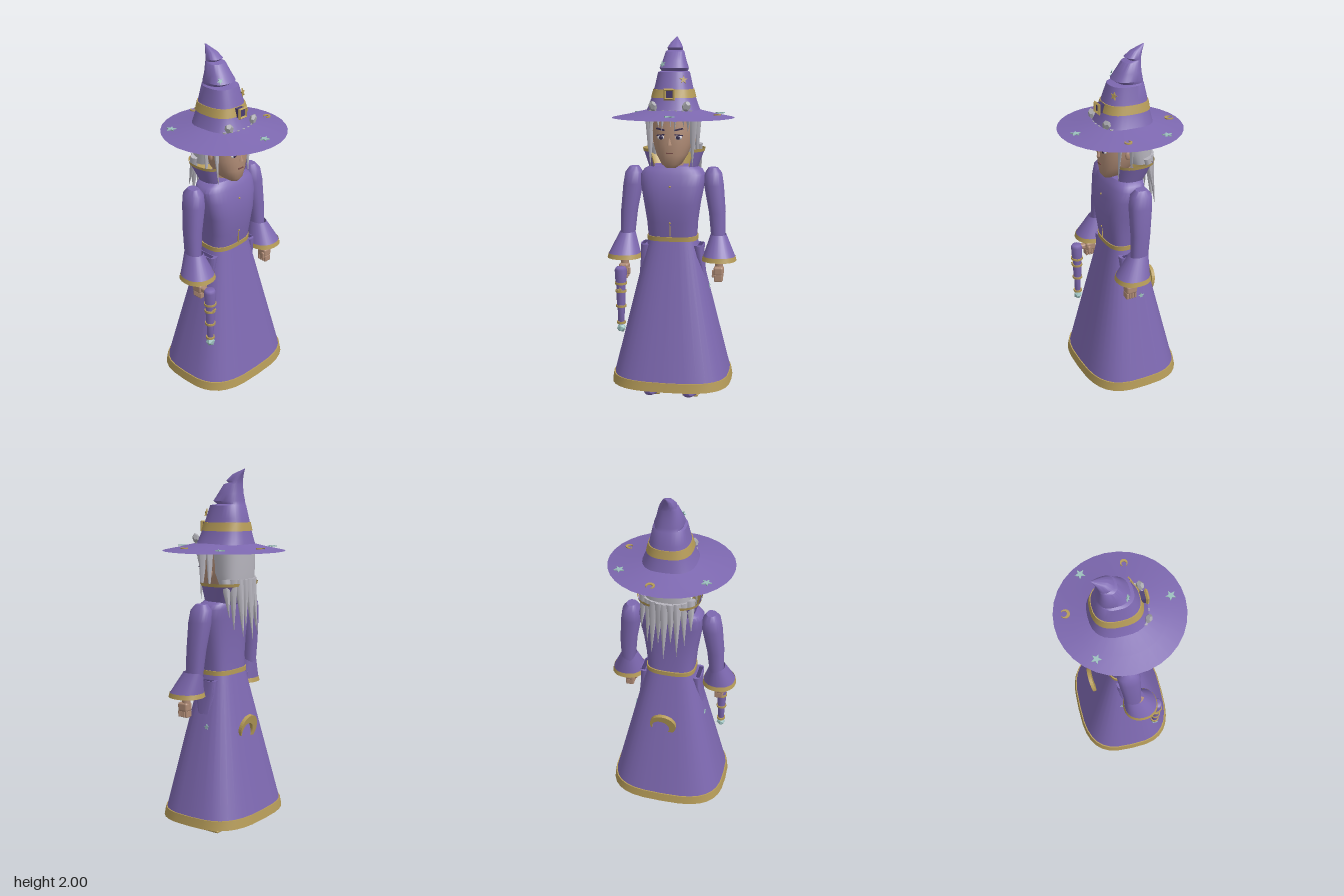
import * as THREE from 'three';
import { toCreasedNormals } from 'three/addons/utils/BufferGeometryUtils.js';
import { RoundedBoxGeometry } from 'three/addons/geometries/RoundedBoxGeometry.js';

const mat = (color, extra = {}) => new THREE.MeshStandardMaterial({ color, ...extra });
const both = { side: THREE.DoubleSide };
const M = {
  purple: mat(0x7d68b0), cloth: mat(0x7d68b0, both), dark: mat(0x4a3d70),
  gold: mat(0xb59b58), trim: mat(0xb59b58, both), skin: mat(0xb08c76),
  hair: mat(0xb9b7c0), teal: mat(0x9cc0be), eye: mat(0x3a2f50), white: mat(0xd8d4dc), lip: mat(0x7a4f4a),
};

// Skin through superellipse rings [y, halfWidth, zFront, zBack, centreX], lowest first
function loft(rings, { n = 3, seg = 32, gap = 0, caps = true, crease = 0.6 } = {}) {
  const pos = [], idx = [], cols = seg + 1, p = 2 / n;
  const pow = (v) => Math.sign(v) * Math.abs(v) ** p;
  for (const [y, rx, zf, zb, cx = 0] of rings) {
    for (let j = 0; j <= seg; j++) {
      const a = Math.PI / 2 + gap + (j / seg) * (2 * Math.PI - 2 * gap);
      pos.push(cx + rx * pow(Math.cos(a)), y, (zf + zb) / 2 + ((zf - zb) / 2) * pow(Math.sin(a)));
    }
  }
  for (let i = 0; i < rings.length - 1; i++) {
    for (let j = 0; j < seg; j++) {
      const a = i * cols + j, b = a + cols;
      idx.push(a, b, a + 1, a + 1, b, b + 1);
    }
  }
  if (caps && !gap) {
    [0, rings.length - 1].forEach((i) => {
      const [y, , zf, zb, cx = 0] = rings[i], c = pos.length / 3;
      pos.push(cx, y, (zf + zb) / 2);
      for (let j = i * cols; j < i * cols + seg; j++) idx.push(c, i ? j + 1 : j, i ? j : j + 1);
    });
  }
  const g = new THREE.BufferGeometry();
  g.setAttribute('position', new THREE.Float32BufferAttribute(pos, 3));
  g.setIndex(idx);
  return toCreasedNormals(g, crease);
}

// Tapered lock from a root to a tip
function lock(root, tip, r, flat = 0.5) {
  const a = new THREE.Vector3(...root), b = new THREE.Vector3(...tip), d = b.clone().sub(a);
  const g = new THREE.ConeGeometry(r, d.length(), 6);
  g.scale(1, 1, flat);
  g.applyQuaternion(new THREE.Quaternion().setFromUnitVectors(new THREE.Vector3(0, 1, 0), d.normalize()));
  return g.translate(...a.add(b).multiplyScalar(0.5).toArray());
}

function star(r, depth = 0.006) {
  const s = new THREE.Shape();
  for (let i = 0; i < 10; i++) {
    const a = (i * Math.PI) / 5 + Math.PI / 2, q = i % 2 ? r * 0.42 : r;
    s[i ? 'lineTo' : 'moveTo'](q * Math.cos(a), q * Math.sin(a));
  }
  return new THREE.ExtrudeGeometry(s, { depth, bevelEnabled: false });
}

// Crescent with a wide body and two tips
function crescent(r, depth) {
  const s = new THREE.Shape();
  s.absarc(0, 0, r, 0.5, Math.PI * 2 - 0.5, false);
  s.absarc(r * 0.3, 0, r * 0.68, Math.PI * 2 - 0.75, 0.75, true);
  return new THREE.ExtrudeGeometry(s, { depth, bevelEnabled: false, curveSegments: 16 });
}

export function createModel() {
  const root = new THREE.Group();
  const add = (name, geo, m, p = [0, 0, 0], r = [0, 0, 0]) => {
    const mesh = new THREE.Mesh(geo, m);
    mesh.name = name;
    mesh.position.set(...p);
    mesh.rotation.set(...r);
    root.add(mesh);
    return mesh;
  };

  // Robe
  add('hem', loft([[0.09, 0.336, 0.278, -0.278], [0.14, 0.328, 0.27, -0.27]]), M.gold);
  add('skirt', loft([[0.14, 0.322, 0.264, -0.264], [0.9, 0.135, 0.098, -0.09]]), M.purple);
  add('belt', loft([[0.895, 0.14, 0.104, -0.095], [0.92, 0.14, 0.106, -0.095]]), M.gold);
  add('bodice', loft([[0.915, 0.134, 0.1, -0.088], [1, 0.14, 0.113, -0.085], [1.1, 0.155, 0.124, -0.085],
    [1.2, 0.174, 0.115, -0.09], [1.26, 0.176, 0.095, -0.095], [1.285, 0.16, 0.083, -0.095],
    [1.305, 0.125, 0.068, -0.09]]), M.purple);
  add('frontSeam', new THREE.BoxGeometry(0.004, 0.08, 0.006), M.gold, [0, 0.965, 0.109]);
  for (const [y, z] of [[1.2, 0.115], [1.0, 0.113]])
    add('button', new THREE.SphereGeometry(0.006, 8, 6), M.gold, [0, y, z]);

  // Collar, open at the front
  const collar = { gap: 0.7, n: 2.6 };
  add('collar', loft([[1.28, 0.128, 0.072, -0.1], [1.385, 0.166, 0.085, -0.16]], collar), M.cloth);
  add('collarLining', loft([[1.285, 0.122, 0.066, -0.094], [1.39, 0.161, 0.08, -0.154]], collar), M.trim);
  add('collarTrim', loft([[1.383, 0.168, 0.088, -0.163], [1.4, 0.172, 0.092, -0.167]], collar), M.trim);

  for (const s of [1, -1]) {
    // Sleeve, cuff and pocket
    const x = 0.265 * s;
    add('sleeve', loft([[0.9, 0.038, 0.06, -0.035, 0.255 * s], [1.05, 0.046, 0.056, -0.05, 0.247 * s],
      [1.2, 0.054, 0.056, -0.068, 0.226 * s], [1.265, 0.047, 0.046, -0.068, 0.222 * s],
      [1.295, 0.026, 0.02, -0.045, 0.22 * s]], { n: 2.4, seg: 20, crease: 0.8 }), M.purple);
    const open = { n: 2.2, seg: 24, caps: false };
    add('cuff', loft([[0.815, 0.088, 0.146, -0.036, x], [0.93, 0.043, 0.075, -0.037, 0.256 * s]], open), M.cloth);
    add('cuffTrim', loft([[0.793, 0.095, 0.154, -0.043, x], [0.818, 0.089, 0.147, -0.037, x]], open), M.trim);
    add('pocket', loft([[0.68, 0.006, 0.04, -0.03, 0.182 * s], [0.8, 0.02, 0.075, -0.05, 0.155 * s],
      [0.87, 0.03, 0.08, -0.055, 0.147 * s]], { seg: 20 }), M.purple);
    add('pocketOpening', new THREE.BoxGeometry(0.022, 0.004, 0.1), M.dark, [0.158 * s, 0.87, 0.012]);
    add('skirtStar', star(0.018), M.teal, [0.199 * s, 0.62, -0.03], [0, (s * Math.PI) / 2, 0]);

    // Hand
    add('wrist', new THREE.CylinderGeometry(0.024, 0.022, 0.13, 10), M.skin, [x, 0.8, 0.06]);
    add('hand', new RoundedBoxGeometry(0.054, 0.05, 0.062, 2, 0.012), M.skin, [x, 0.735, 0.07]);
    for (let i = 0; i < 4; i++)
      add('finger', new RoundedBoxGeometry(0.046, 0.04, 0.014, 2, 0.006), M.skin, [x, 0.697, 0.048 + i * 0.0155]);
    add('thumb', new RoundedBoxGeometry(0.016, 0.042, 0.018, 2, 0.006), M.skin, [x - s * 0.028, 0.72, 0.085]);

    // Shoe: rings run from heel to curled toe
    const shoe = loft([[-0.07, 0.036, -0.012, -0.08], [-0.04, 0.046, -0.01, -0.092], [0.05, 0.054, -0.01, -0.088],
      [0.11, 0.044, -0.012, -0.066], [0.16, 0.026, -0.024, -0.055], [0.19, 0.013, -0.042, -0.062],
      [0.21, 0.003, -0.07, -0.078]], { n: 2.4, seg: 16, crease: 0.8 });
    add('shoe', shoe.rotateX(Math.PI / 2), M.purple, [0.11 * s, 0, 0]);
    add('sole', new RoundedBoxGeometry(0.09, 0.014, 0.15, 2, 0.006), M.gold, [0.11 * s, 0.007, 0.008]);

    // Face and side hair
    add('eyeWhite', new THREE.SphereGeometry(0.02, 12, 8).scale(1, 0.6, 0.4), M.white, [0.048 * s, 1.467, 0.116]);
    add('iris', new THREE.SphereGeometry(0.011, 10, 8).scale(1, 1, 0.5), M.eye, [0.046 * s, 1.467, 0.122]);
    add('eyelid', new THREE.BoxGeometry(0.044, 0.006, 0.01), M.eye, [0.049 * s, 1.48, 0.12], [0, 0.25 * s, -0.12 * s]);
    add('eyebrow', new THREE.BoxGeometry(0.046, 0.008, 0.01), M.eye, [0.05 * s, 1.51, 0.117], [0, 0.25 * s, 0.2 * s]);
    add('ear', new THREE.SphereGeometry(0.026, 10, 8).scale(0.4, 1, 0.7), M.skin, [0.117 * s, 1.45, 0.01]);
    add('sideLock', lock([0.118 * s, 1.6, 0.05], [0.115 * s, 1.3, 0.07], 0.034), M.hair);
    add('sideLock', lock([0.128 * s, 1.6, 0], [0.135 * s, 1.32, 0], 0.034), M.hair);

    // Grey crystals on the brim
    const crystal = new THREE.DodecahedronGeometry(0.024).scale(1, 1.25, 0.8);
    add('crystal', crystal, mat(0xa8a8ae, { flatShading: true }), [0.09 * s, 1.632, 0.122], [0.3, 0.5 * s, -0.4 * s]);
  }

  // Head
  add('neck', new THREE.CylinderGeometry(0.05, 0.06, 0.14, 16), M.skin, [0, 1.33, -0.01]);
  add('head', loft([[1.3, 0.028, 0.1, 0.03], [1.32, 0.055, 0.115, -0.02], [1.37, 0.085, 0.122, -0.07],
    [1.43, 0.105, 0.124, -0.11], [1.5, 0.114, 0.12, -0.12], [1.6, 0.11, 0.105, -0.125]], { n: 2.3, crease: 1.2 }), M.skin);
  add('nose', lock([0, 1.425, 0.122], [0, 1.47, 0.12], 0.014, 1.2), M.skin);
  add('mouth', new THREE.BoxGeometry(0.036, 0.007, 0.008), M.lip, [0, 1.382, 0.122]);

  // Hair: cap, fringe and long back locks
  add('hairCap', loft([[1.38, 0.118, -0.02, -0.155], [1.45, 0.124, 0.015, -0.163], [1.6, 0.128, 0.04, -0.168]], { n: 2.4 }), M.hair);
  for (let i = 0; i < 7; i++) {
    const x = (i - 3) * 0.033, z = 0.122 - x * x * 3;
    add('fringe', lock([x, 1.61, z], [x * 1.05 + 0.008 * (i % 2 ? 1 : -1), i % 2 ? 1.52 : 1.495, z + 0.008], 0.026), M.hair);
  }
  [1.24, 1.15, 1.1, 1.17, 1.08, 1.16, 1.1, 1.14, 1.22].forEach((y, i) => {
    const x = (i - 4) * 0.031, curve = x * x * 4;
    add('backLock', lock([x, 1.42, -0.16 + curve], [x * 1.1, y, -0.195 + curve + (i % 2) * 0.02], 0.03, 0.75), M.hair);
  });

  // Hat with a bent, folded crown
  add('hatBrim', loft([[1.567, 0.335, 0.335, -0.335], [1.586, 0.24, 0.24, -0.24], [1.612, 0.13, 0.13, -0.14]],
    { n: 2, seg: 32, caps: false, crease: 1 }), M.cloth);
  add('hatCrown', loft([[1.595, 0.15, 0.145, -0.168], [1.625, 0.136, 0.13, -0.16], [1.68, 0.116, 0.108, -0.148],
    [1.74, 0.1, 0.09, -0.138], [1.81, 0.085, 0.065, -0.122], [1.816, 0.072, 0.02, -0.119], [1.832, 0.078, 0.046, -0.117],
    [1.87, 0.064, 0.02, -0.111], [1.92, 0.05, -0.015, -0.109], [1.928, 0.041, -0.045, -0.11], [1.94, 0.042, -0.028, -0.112],
    [1.97, 0.026, -0.06, -0.122], [2.0, 0.002, -0.13, -0.137]], { n: 2.5, crease: 0.7 }), M.purple);
  add('hatBand', loft([[1.675, 0.121, 0.114, -0.153], [1.72, 0.109, 0.1, -0.145]], { n: 2.6 }), M.gold);
  const buckle = new THREE.TorusGeometry(0.034, 0.009, 4, 4).rotateZ(Math.PI / 4);
  add('buckle', buckle, mat(0xb59b58, { flatShading: true }), [0, 1.695, 0.132]);
  add('buckleBacking', new THREE.BoxGeometry(0.046, 0.046, 0.03), M.dark, [0, 1.695, 0.112]);

  // Stars and moons on the hat
  const flat = -Math.PI / 2;
  [[-0.22, -0.17, 0.3], [0.24, -0.15, 0.1], [0.022, 0.265, 0]].forEach(([x, z, r]) =>
    add('brimStar', star(0.028), M.teal, [x, 1.583 + 0.14 * (0.27 - Math.hypot(x, z)), z], [flat, 0, r]));
  add('brimMoon', crescent(0.024, 0.006), M.gold, [0.045, 1.585, -0.268], [flat, 0, 1.4]);
  add('brimMoon', crescent(0.02, 0.006), M.gold, [0.25, 1.585, 0.078], [flat, 0, 3.1]);
  add('crownStar', star(0.022), M.gold, [0.066, 1.77, 0.066], [-0.25, 0.4, 0]);
  add('crownStar', star(0.018), M.teal, [-0.052, 1.85, 0.022], [-0.4, -0.5, 0.3]);

  // Moon and star on the back of the skirt
  add('backMoon', crescent(0.075, 0.02), M.gold, [0.01, 0.6, -0.16], [-0.2, Math.PI, -2.2]);

  // Wand hanging in the right hand: stacked grip with rings and a gem
  const wx = -0.267, wz = 0.152;
  add('wand', new THREE.LatheGeometry([[0, 0.43], [0.018, 0.43], [0.02, 0.53], [0.024, 0.54], [0.026, 0.65],
    [0.03, 0.66], [0.034, 0.74], [0.026, 0.755], [0, 0.755]].map((p) => new THREE.Vector2(...p)), 10), M.purple, [wx, 0, wz]);
  for (const [y, r] of [[0.44, 0.022], [0.535, 0.026], [0.62, 0.028], [0.665, 0.032]])
    add('wandRing', new THREE.CylinderGeometry(r + 0.003, r + 0.003, 0.012, 12), M.gold, [wx, y, wz]);
  add('wandStar', star(0.016), M.gold, [wx, 0.63, wz + 0.027]);
  add('wandGem', new THREE.IcosahedronGeometry(0.026, 0), mat(0x9cc0be, { flatShading: true }), [wx, 0.408, wz]);
  add('wandGrip', new RoundedBoxGeometry(0.034, 0.03, 0.07, 2, 0.01), M.skin, [wx, 0.735, 0.105]);
  return root;
}
